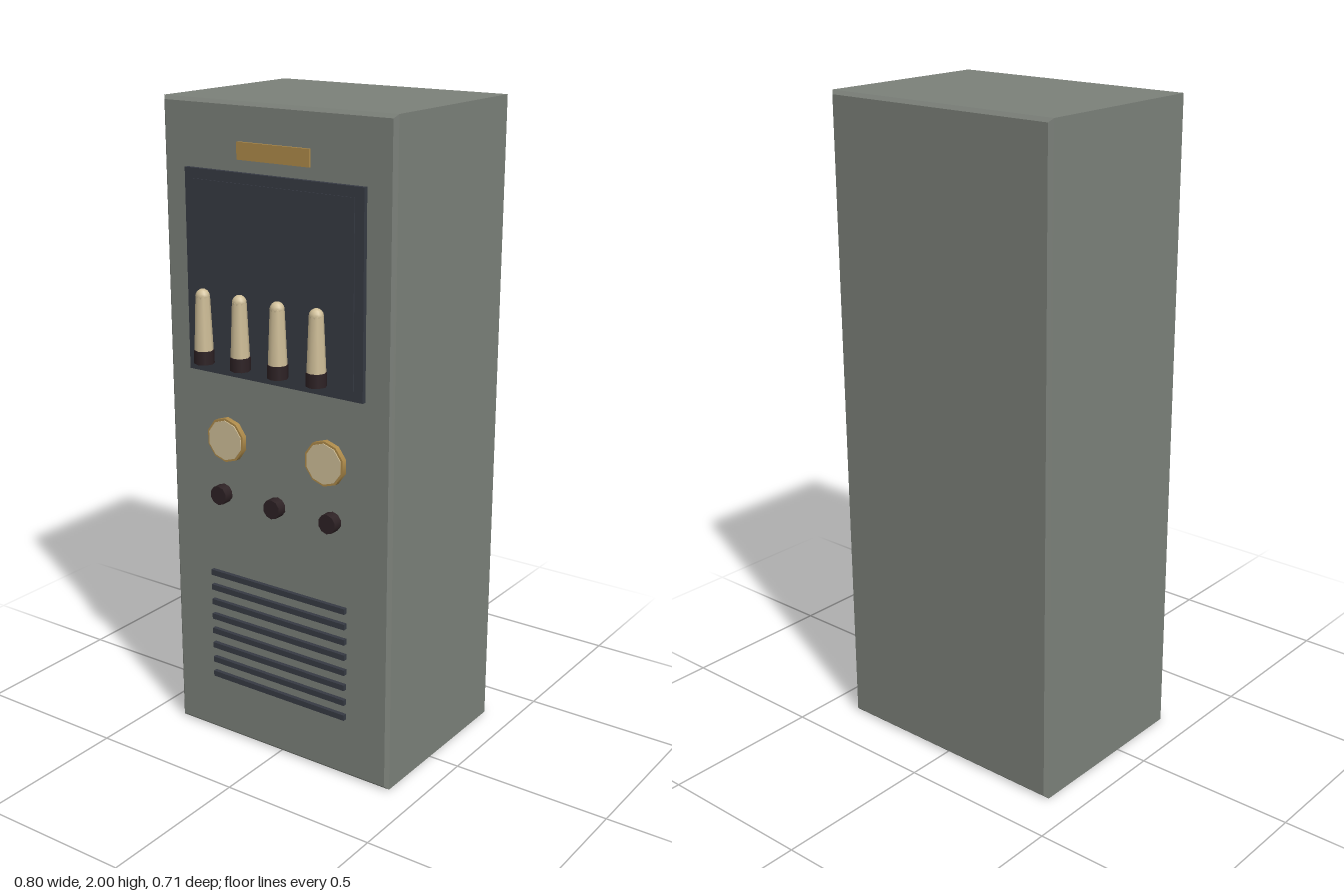
import * as THREE from 'three';

const paint = (name, color, flatShading = false) => {
  const m = new THREE.MeshStandardMaterial({ color, flatShading });
  m.name = name;
  return m;
};

export function createModel() {
  const model = new THREE.Group();
  model.name = 'controlCabinet';

  const grey = paint('cabinetGrey', 0x7b8079);
  const slate = paint('darkSlate', 0x363a43);
  const brass = paint('brass', 0xad8a4a);
  const cream = paint('cream', 0xcfbe98);
  const brown = paint('darkBrown', 0x2d2124);

  const FRONT = 0.245;

  const add = (name, geometry, material, x = 0, y = 0, z = 0) => {
    const mesh = new THREE.Mesh(geometry, material);
    mesh.name = name;
    mesh.position.set(x, y, z);
    model.add(mesh);
    return mesh;
  };

  // plate on the front face, standing out by the given amount
  const plate = (name, material, w, h, y, out) =>
    add(name, new THREE.BoxGeometry(w, h, out + 0.01), material, 0, y, FRONT + (out - 0.01) / 2);

  // round part on the front face, axis along z
  const disc = (name, material, r, sides, x, y, z0, z1) => {
    const g = new THREE.CylinderGeometry(r, r, z1 - z0, sides).rotateX(Math.PI / 2);
    return add(name, g, material, x, y, (z0 + z1) / 2);
  };

  // cabinet with chamfered front and back edges
  const b = 0.011;
  const outline = new THREE.Shape();
  outline.moveTo(-0.4 + b, b);
  outline.lineTo(0.4 - b, b);
  outline.lineTo(0.4 - b, 2 - b);
  outline.lineTo(-0.4 + b, 2 - b);
  outline.closePath();
  const cabinet = new THREE.ExtrudeGeometry(outline, {
    depth: 0.6 - 2 * b, bevelThickness: b, bevelSize: b, bevelSegments: 1,
  });
  add('cabinet', cabinet, grey, 0, 0, -0.355 + b);

  // name plate, screen and its raised pane
  plate('topPlate', brass, 0.25, 0.05, 1.865, 0.008);
  plate('screenFrame', slate, 0.62, 0.6, 1.505, 0.014);
  plate('screenPane', slate, 0.56, 0.54, 1.505, 0.017);

  // four tubes standing in front of the screen
  for (let i = 0; i < 4; i++) {
    const x = -0.2 + i * 0.4 / 3;
    const z = 0.325;
    add('tubeSocket', new THREE.CylinderGeometry(0.03, 0.03, 0.04, 8), brown, x, 1.274, z);
    add('tubeBody', new THREE.CylinderGeometry(0.021, 0.028, 0.162, 8), cream, x, 1.374, z);
    add('tubeTip', new THREE.SphereGeometry(0.021, 10, 8), cream, x, 1.454, z);
  }

  // dials with brass rims
  for (const x of [-0.18, 0.18]) {
    disc('dialRim', brass, 0.069, 10, x, 1.002, FRONT - 0.01, 0.262);
    disc('dialFace', cream, 0.062, 10, x, 1.002, 0.258, 0.265);
  }

  // knobs
  for (const x of [-0.2, 0, 0.2]) {
    disc('knob', brown, 0.03, 10, x, 0.825, FRONT - 0.01, 0.277);
  }

  // speaker slats
  for (let i = 0; i < 8; i++) {
    plate('speakerSlat', slate, 0.5, 0.018, 0.204 + i * 0.05, 0.013);
  }

  return model;
}
